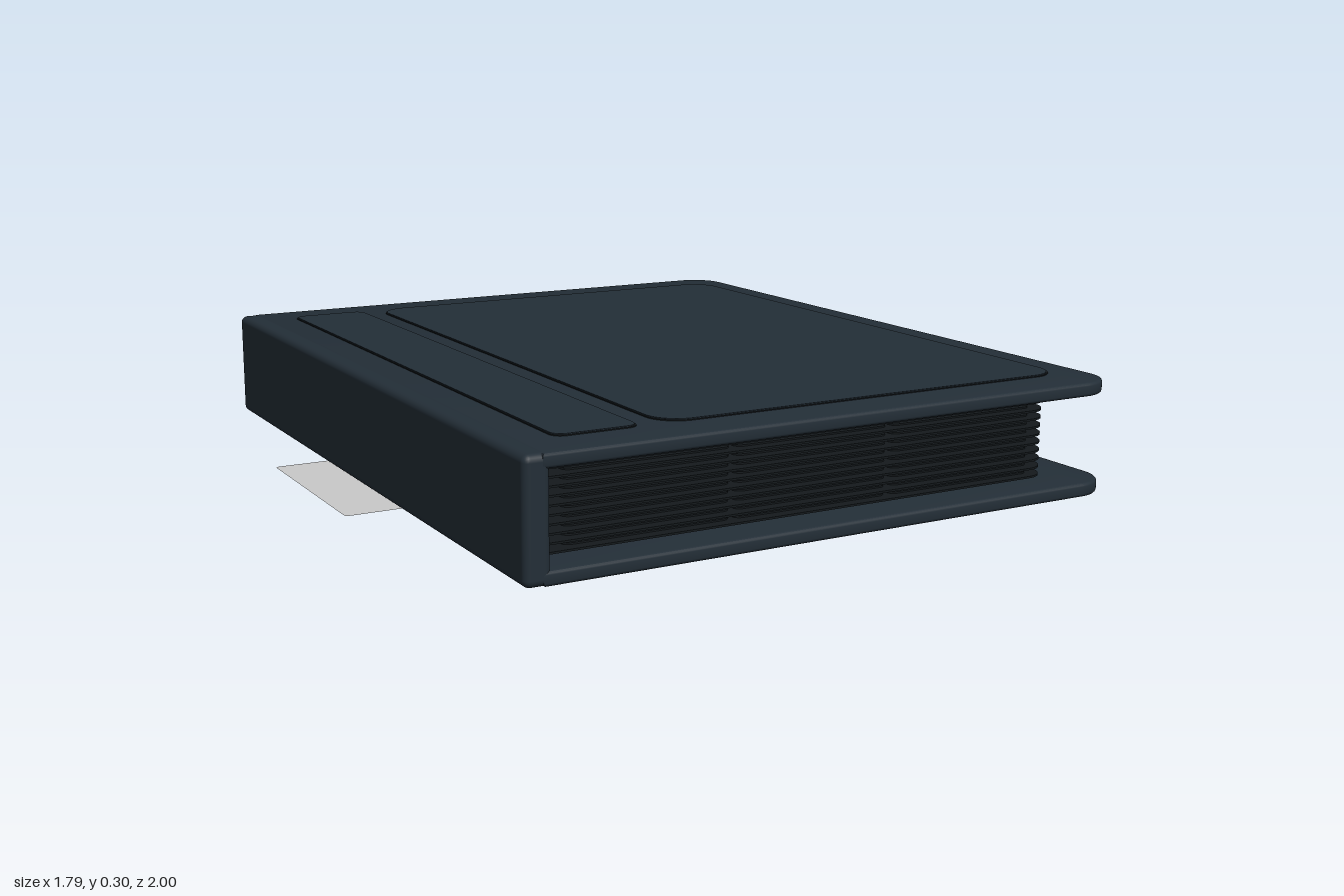
import * as THREE from 'three';
import { toCreasedNormals } from 'three/addons/utils/BufferGeometryUtils.js';
import { RoundedBoxGeometry } from 'three/addons/geometries/RoundedBoxGeometry.js';

// Horizontal plate, symmetric in z, with own corner radii on the spine side (rl) and fore edge (rr)
function plateGeometry(x0, x1, halfZ, y0, y1, rl, rr, bevel = 0) {
  const a = x0 + bevel, b = x1 - bevel, h = halfZ - bevel;
  const s = new THREE.Shape();
  s.moveTo(a + rl, -h);
  s.lineTo(b - rr, -h);
  if (rr) s.absarc(b - rr, -h + rr, rr, -Math.PI / 2, 0, false);
  s.lineTo(b, h - rr);
  if (rr) s.absarc(b - rr, h - rr, rr, 0, Math.PI / 2, false);
  s.lineTo(a + rl, h);
  if (rl) s.absarc(a + rl, h - rl, rl, Math.PI / 2, Math.PI, false);
  s.lineTo(a, -h + rl);
  if (rl) s.absarc(a + rl, -h + rl, rl, Math.PI, Math.PI * 1.5, false);
  const g = new THREE.ExtrudeGeometry(s, {
    depth: y1 - y0 - 2 * bevel, bevelEnabled: bevel > 0,
    bevelThickness: bevel, bevelSize: bevel, bevelSegments: 3, curveSegments: 8,
  });
  g.rotateX(-Math.PI / 2);
  g.translate(0, y0 + bevel, 0);
  return toCreasedNormals(g, 0.7);
}

export function createModel() {
  const coverMat = new THREE.MeshStandardMaterial({ color: 0x232e37 });
  coverMat.name = 'slate cover';
  const pageMat = new THREE.MeshStandardMaterial({ color: 0x14191c });
  pageMat.name = 'dark pages';
  const labelMat = new THREE.MeshStandardMaterial({ color: 0xc9c9c9, side: THREE.DoubleSide });
  labelMat.name = 'light grey label';

  const model = new THREE.Group();
  model.name = 'binder';
  const add = (name, geometry, material, parent = model) => {
    const mesh = new THREE.Mesh(geometry, material);
    mesh.name = name;
    parent.add(mesh);
    return mesh;
  };

  // Covers and spine
  add('bottomCover', plateGeometry(-0.72, 0.895, 1, 0.001, 0.036, 0, 0.09, 0.008), coverMat);
  add('topCover', plateGeometry(-0.72, 0.895, 1, 0.26, 0.295, 0, 0.09, 0.008), coverMat);
  const spine = add('spine', new RoundedBoxGeometry(0.065, 0.294, 2, 3, 0.018), coverMat);
  spine.position.set(-0.7325, 0.148, 0);

  // Raised panels on the top cover, each with a dark seam around it
  for (const [name, x0, x1, r] of [['narrowPanel', -0.63, -0.42, 0.03], ['widePanel', -0.36, 0.81, 0.08]]) {
    add(name + 'Seam', plateGeometry(x0 - 0.003, x1 + 0.003, 0.88, 0.294, 0.2975, r, r), pageMat);
    add(name, plateGeometry(x0, x1, 0.877, 0.295, 0.3, r, r), coverMat);
  }

  // Ten page sheets, each carrying a three by three block of pockets
  const sheet = plateGeometry(-0.71, 0.735, 0.935, -0.0025, 0.0025, 0, 0.06);
  const pocket = plateGeometry(-0.215, 0.215, 0.295, -0.0065, 0.0065, 0.02, 0.02);
  for (let i = 0; i < 10; i++) {
    const page = new THREE.Group();
    page.name = 'page' + (i + 1);
    page.position.y = 0.053 + i * 0.0212;
    add('sheet', sheet, pageMat, page);
    for (let c = -1; c <= 1; c++) {
      for (let r = -1; r <= 1; r++) {
        add('pocket', pocket, pageMat, page).position.set(0.035 + c * 0.444, 0, r * 0.61);
      }
    }
    model.add(page);
  }

  // Flat label slipped under the spine
  const label = new THREE.Shape();
  const r = 0.012, w = 0.19, h = 0.273;
  label.moveTo(-w + r, -h);
  label.lineTo(w, -h);
  label.lineTo(w, h);
  label.lineTo(-w + r, h);
  label.quadraticCurveTo(-w, h, -w, h - r);
  label.lineTo(-w, -h + r);
  label.quadraticCurveTo(-w, -h, -w + r, -h);
  const labelGeometry = new THREE.ShapeGeometry(label, 4);
  labelGeometry.rotateX(-Math.PI / 2);
  add('label', labelGeometry, labelMat).position.set(-0.71, 0, 0);

  return model;
}
